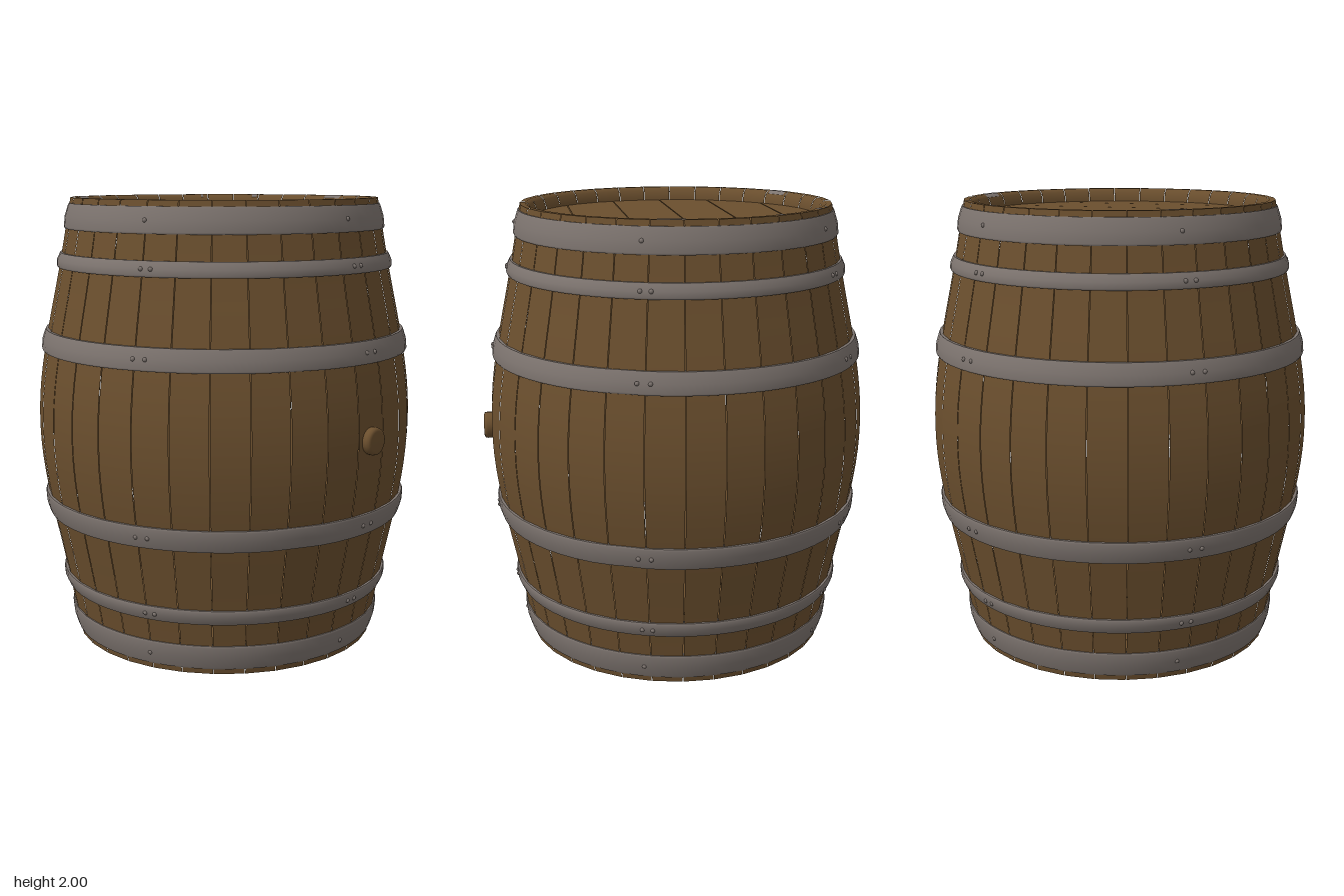
import * as THREE from 'three';
import { mergeGeometries } from 'three/addons/utils/BufferGeometryUtils.js';

const STAVES = 32, STEP = Math.PI * 2 / STAVES, GAP = 0.004;
const V = (r, y) => new THREE.Vector2(r, y);

// Bulging silhouette of the barrel, symmetric about y = 1
const bulge = new THREE.SplineCurve([
  V(0.69, 0), V(0.745, 0.3), V(0.807, 0.6), V(0.842, 0.82), V(0.852, 1),
  V(0.842, 1.18), V(0.807, 1.4), V(0.745, 1.7), V(0.69, 2),
]);

// One flat-faced slice of a lathe, smooth along its height
function slice(points, angle, width) {
  const g = new THREE.LatheGeometry(points, 1, angle - width / 2, width);
  const p = g.attributes.position, n = g.attributes.normal;
  for (let i = 0; i < p.count; i++) {
    const a = Math.atan2(p.getX(i), p.getZ(i));
    const r = n.getX(i) * Math.sin(a) + n.getZ(i) * Math.cos(a);
    n.setXYZ(i, r * Math.sin(angle), n.getY(i), r * Math.cos(angle));
  }
  return g;
}

export function createModel() {
  const wood = new THREE.MeshStandardMaterial({ color: 0x6b4f2e });
  const metal = new THREE.MeshStandardMaterial({ color: 0x7d746f });
  wood.name = 'oak wood';
  metal.name = 'worn iron';

  const model = new THREE.Group();
  model.name = 'barrel';
  const add = (name, geometry, material, parent = model) => {
    const m = new THREE.Mesh(geometry, material);
    m.name = name;
    parent.add(m);
    return m;
  };

  // Staves: outer face, bevelled rims and inner wall
  const outer = bulge.getPoints(24);
  const topRim = [V(0.69, 2), V(0.665, 2), V(0.648, 1.985), V(0.636, 1.95), V(0.636, 1.9)];
  const bottomRim = topRim.map(p => V(p.x, 2 - p.y)).reverse();
  const inner = [V(0.636, 1.9), V(0.76, 1.4), V(0.8, 1), V(0.76, 0.6), V(0.636, 0.1)];
  const staves = [];
  for (let i = 0; i < STAVES; i++) {
    for (const profile of [outer, topRim, inner, bottomRim]) {
      staves.push(slice(profile, i * STEP, STEP - GAP));
    }
  }
  add('staves', mergeGeometries(staves), wood);

  // Lids: planks cut to a circle, running left to right
  const seams = [-0.475, -0.2425, -0.01, 0.2225, 0.455];
  const R = 0.642, edges = [-R, ...seams, R];
  for (const [name, y] of [['topLid', 1.9], ['bottomLid', 0.06]]) {
    const planks = [];
    for (let i = 0; i < edges.length - 1; i++) {
      const a = edges[i] + 0.002, b = edges[i + 1] - 0.002, right = [], left = [];
      for (let k = 0; k <= 8; k++) {
        const z = a + (b - a) * k / 8, x = Math.sqrt(R * R - z * z);
        right.push(V(x, -z));
        left.unshift(V(-x, -z));
      }
      const g = new THREE.ExtrudeGeometry(new THREE.Shape([...right, ...left]),
        { depth: 0.04, bevelEnabled: false });
      planks.push(g.rotateX(-Math.PI / 2).translate(0, y, 0));
    }
    add(name, mergeGeometries(planks), wood);
  }

  // Hoops: [low y, high y, low radius, high radius, rivet offsets], mirrored below
  const hoops = [
    [1.865, 1.975, 0.722, 0.702, [-0.015]],
    [1.695, 1.76, 0.758, 0.745, [-0.015, 0.03]],
    [1.325, 1.42, 0.834, 0.818, [-0.015, 0.04]],
  ];
  const rivet = new THREE.SphereGeometry(0.01, 8, 6);
  for (const side of ['upper', 'lower']) {
    hoops.forEach(([y0, y1, r0, r1, offsets], i) => {
      const hoop = new THREE.Group();
      hoop.name = side + 'Hoop' + (i + 1);
      model.add(hoop);
      const t = 0.035, h = y1 - y0;
      let faces = [
        [V(r0 - t, y0), V(r0 - 0.004, y0)],
        [V(r0 - 0.004, y0), V(r0, y0 + 0.008), V((r0 + r1) / 2 + 0.005, y0 + h / 2),
          V(r1, y1 - 0.008), V(r1 - 0.004, y1)],
        [V(r1 - 0.004, y1), V(r1 - t, y1)],
      ];
      if (side === 'lower') faces = faces.map(f => f.map(p => V(p.x, 2 - p.y)).reverse());
      const rings = faces.map(f => new THREE.LatheGeometry(f, 64));

      // Hammered dents on the widest hoops
      if (i === 2) {
        for (const g of rings) {
          const p = g.attributes.position;
          for (let k = 0; k < p.count; k++) {
            const a = Math.atan2(p.getX(k), p.getZ(k));
            const d = Math.min(Math.abs(a + 0.44), Math.abs(a - 1.16));
            const s = 1 - 0.012 * Math.max(0, 1 - d / 0.13);
            p.setX(k, p.getX(k) * s);
            p.setZ(k, p.getZ(k) * s);
          }
        }
      }
      add('band', mergeGeometries(rings), metal, hoop);

      // Five sets of rivets around each band
      const y = (y0 + y1) / 2, r = (r0 + r1) / 2 + 0.002;
      for (let k = 0; k < 5; k++) {
        for (const o of offsets) {
          const a = k * Math.PI * 2 / 5 + o / r;
          add('rivet', rivet, metal, hoop)
            .position.set(r * Math.sin(a), side === 'upper' ? y : 2 - y, r * Math.cos(a));
        }
      }
    });
  }

  // Worn spots of iron showing on the top rim
  for (const [angle, width] of [[-2.55, 0.15], [2.52, 0.06], [2.1, 0.05], [1.4, 0.17]]) {
    const chip = slice([V(0.688, 2.001), V(0.664, 2.001), V(0.647, 1.986)], angle, width);
    add('rimWear', chip, metal);
  }

  // Bung at the front
  const bung = new THREE.LatheGeometry(
    [V(0.057, 0), V(0.06, 0.05), V(0.057, 0.062), V(0.045, 0.067), V(0, 0.068)], 24);
  add('bung', bung.rotateX(Math.PI / 2).translate(0, 1, 0.817), wood);

  for (const part of model.children) part.position.z -= 0.015;
  return model;
}
